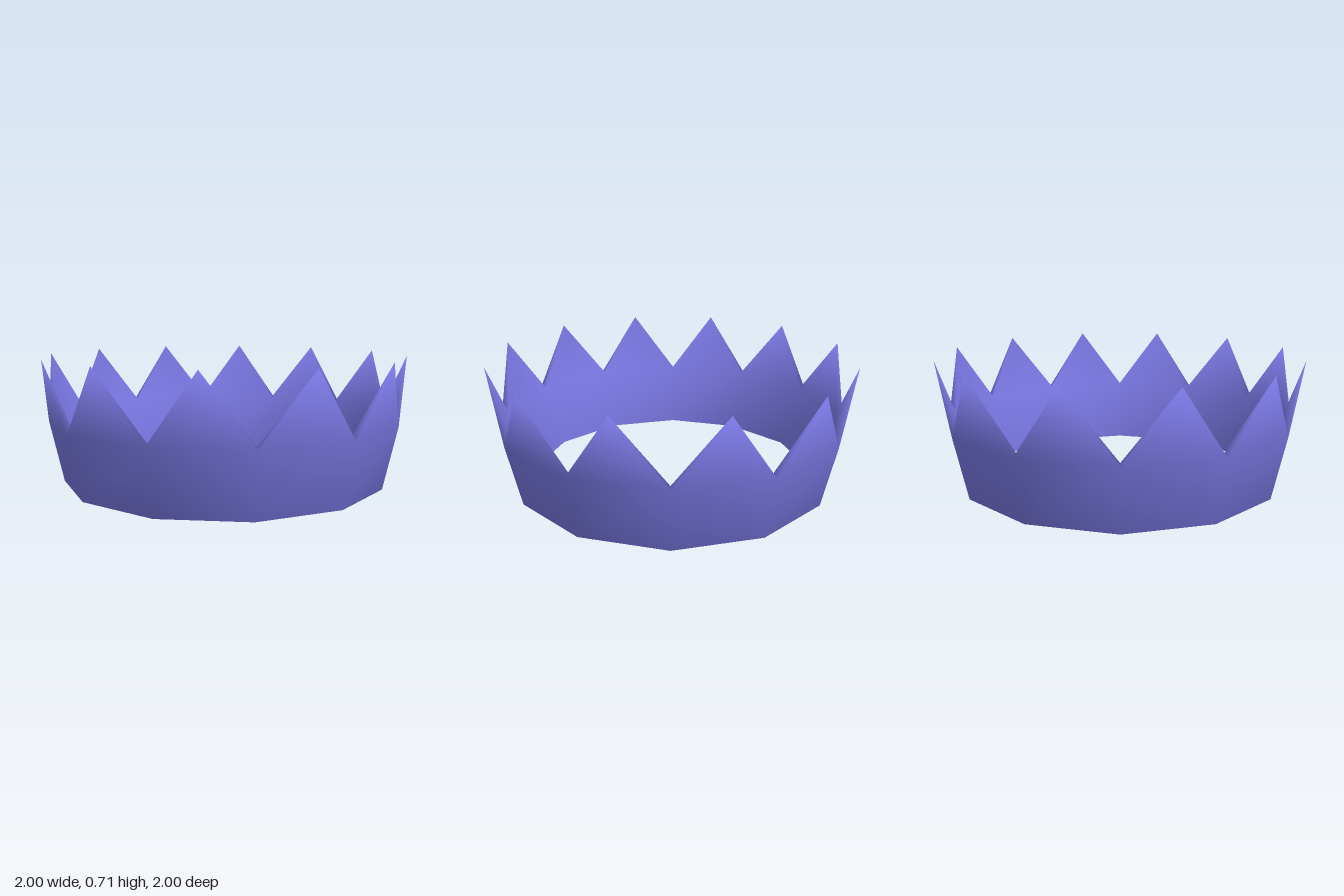
import * as THREE from 'three';

const POINTS = 12;

// Closed shell whose wall tapers to a single sharp tip on every point
function crownGeometry() {
  const step = (Math.PI * 2) / POINTS;
  const positions = [];
  const index = [];

  // radius, height and angular offset of each ring of corners
  const rings = [
    [0.925, 0, 0],      // outer bottom
    [0.83, 0, 0],       // inner bottom
    [1.0, 0.35, 0],     // outer valley
    [0.96, 0.36, 0],    // inner valley
    [1.035, 0.715, 0.5] // tip
  ];
  for (const [r, y, offset] of rings) {
    for (let i = 0; i < POINTS; i++) {
      const a = (i + offset) * step;
      positions.push(r * Math.sin(a), y, r * Math.cos(a));
    }
  }

  const at = (ring, i) => ring * POINTS + (i % POINTS);
  const quad = (a, b, c, d) => index.push(a, b, c, a, c, d);
  for (let i = 0; i < POINTS; i++) {
    const [ob, ib, ov, iv, tip] = [0, 1, 2, 3, 4].map((r) => at(r, i));
    const [ob1, ib1, ov1, iv1] = [0, 1, 2, 3].map((r) => at(r, i + 1));
    quad(ob, ob1, ov1, ov);    // outer band
    index.push(ov, ov1, tip);  // outer side of the point
    quad(ib1, ib, iv, iv1);    // inner band
    index.push(iv1, iv, tip);  // inner side of the point
    quad(ob, ib, ib1, ob1);    // bottom rim
    index.push(ov, tip, iv);   // sloping edges of the point
    index.push(ov1, iv1, tip);
  }

  const geometry = new THREE.BufferGeometry();
  geometry.setAttribute('position', new THREE.Float32BufferAttribute(positions, 3));
  geometry.setIndex(index);
  geometry.computeVertexNormals();
  return geometry;
}

export function createModel() {
  const violet = new THREE.MeshStandardMaterial({ color: 0x7876e0 });
  violet.name = 'violet';

  const group = new THREE.Group();
  group.name = 'crown';
  const band = new THREE.Mesh(crownGeometry(), violet);
  band.name = 'pointedBand';
  group.add(band);
  return group;
}
